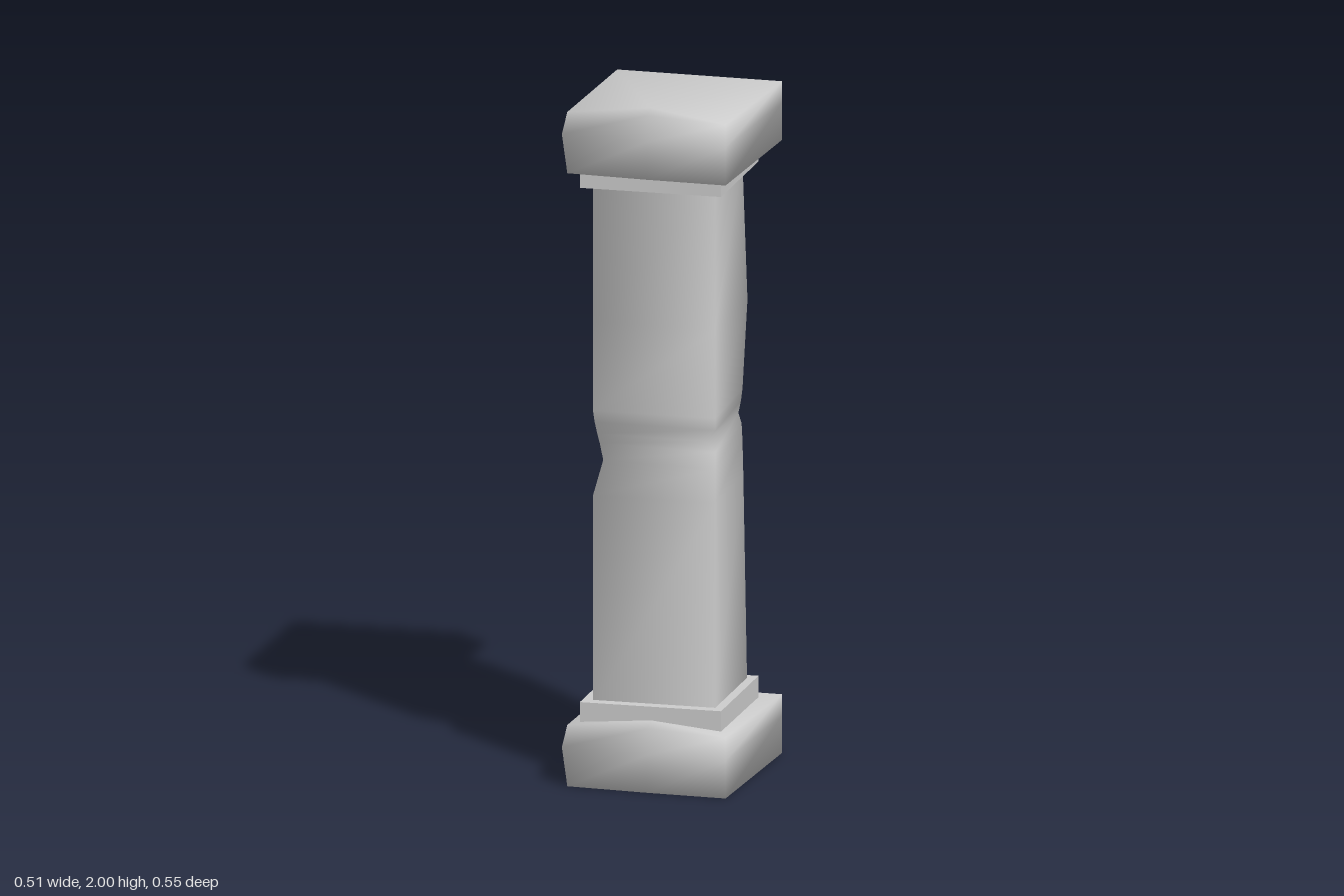
import * as THREE from 'three';

const stone = new THREE.MeshStandardMaterial({ color: 0xcccccc, roughness: 0.8 });

// Skins rings of points (counter-clockwise from above, bottom to top), with optional fan caps.
function loft(rings, bottomTip, topTip) {
  const n = rings[0].length;
  const points = rings.flat();
  const index = [];
  for (let i = 0; i < rings.length - 1; i++) {
    for (let j = 0; j < n; j++) {
      const a = i * n + j, b = i * n + (j + 1) % n;
      index.push(a, b, b + n, a, b + n, a + n);
    }
  }
  if (bottomTip) {
    const tip = points.push(bottomTip) - 1;
    for (let j = 0; j < n; j++) index.push((j + 1) % n, j, tip);
  }
  if (topTip) {
    const tip = points.push(topTip) - 1, base = (rings.length - 1) * n;
    for (let j = 0; j < n; j++) index.push(base + j, base + (j + 1) % n, tip);
  }
  const geo = new THREE.BufferGeometry();
  geo.setAttribute('position', new THREE.Float32BufferAttribute(points.flat(), 3));
  geo.setIndex(index);
  geo.computeVertexNormals();
  return geo;
}

function add(group, name, geo, y = 0) {
  const mesh = new THREE.Mesh(geo, stone);
  mesh.name = name;
  mesh.position.y = y;
  group.add(mesh);
}

// Rough block with a worn left side and a low peak near the front edge.
function blockGeometry() {
  const outline = [[-0.228, -0.275], [-0.237, 0.25], [0, 0.265], [0.234, 0.272], [0.257, -0.275]];
  const worn = [[-0.247, -0.245], [-0.257, 0.235], ...outline.slice(2)];
  const topY = [0.175, 0.18, 0.188, 0.178, 0.172];
  return loft([
    outline.map(([x, z]) => [x, 0, z]),
    worn.map(([x, z]) => [x, 0.11, z]),
    outline.map(([x, z], i) => [x, topY[i], z]),
  ], [0, 0, 0], [0, 0.2, 0.22]);
}

// Square shaft; each row gives a height and how far each corner is chipped inwards in x and z.
function shaftGeometry() {
  const corners = [[-0.18, -0.18], [-0.18, 0.18], [0.18, 0.18], [0.18, -0.18]];
  const rows = [
    // y, back -x, front -x, front +x, back +x
    [0.22, [0.012, 0.012], [0, 0], [0, 0], [0, 0.004]],
    [0.84, [0.002, 0.002], [0, 0], [0, 0], [0.008, 0.016]],
    [0.94, [0, 0], [0.024, 0.024], [0, 0], [0.01, 0.018]],
    [0.99, [0, 0], [0.016, 0.016], [0, 0], [0.012, 0.02]],
    [1.02, [0, 0], [0.01, 0.01], [0.028, 0], [0.022, 0.018]],
    [1.055, [0, 0], [0.004, 0.004], [0, 0], [0.016, 0.012]],
    [1.09, [0, 0], [0, 0], [0, 0], [0.012, 0.01]],
    [1.35, [0, 0], [0, 0], [0, 0], [0, 0]],
    [1.77, [0.012, 0.012], [0, 0], [0, 0], [0.012, 0.012]],
  ];
  return loft(rows.map(([y, ...chips]) => corners.map(([x, z], i) => [
    x - Math.sign(x) * chips[i][0], y, z - Math.sign(z) * chips[i][1],
  ])));
}

export function createModel() {
  const group = new THREE.Group();
  group.name = 'stonePillar';

  // Base and capital share one block shape
  const block = blockGeometry();
  add(group, 'baseBlock', block, 0);
  add(group, 'capitalBlock', block, 1.8);

  // Collars between the blocks and the shaft
  const collar = new THREE.BoxGeometry(0.415, 0.08, 0.42);
  collar.translate(-0.002, 0, 0.004);
  add(group, 'lowerCollar', collar, 0.2);
  add(group, 'upperCollar', collar, 1.79);

  add(group, 'shaft', shaftGeometry());
  return group;
}
